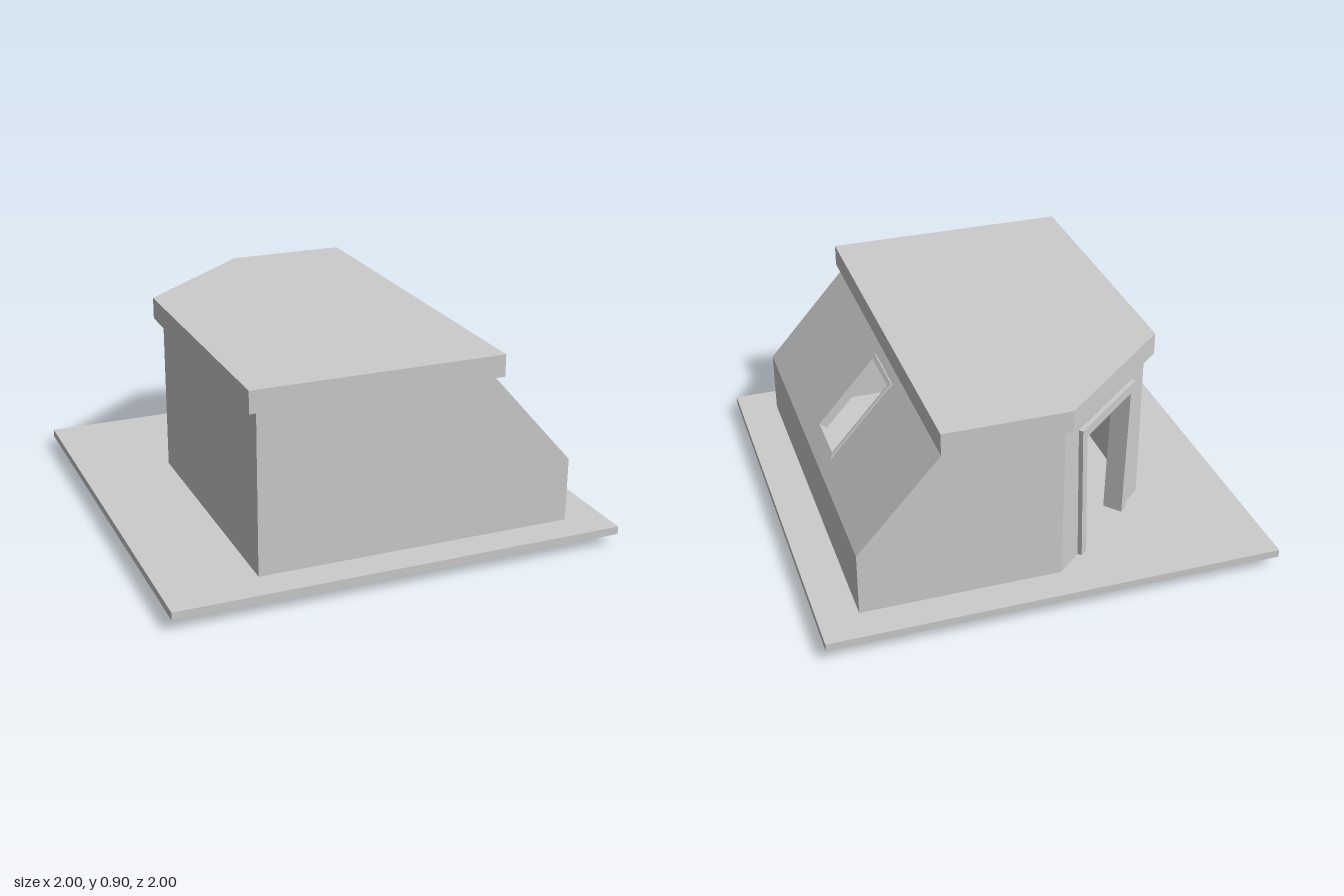
import * as THREE from 'three';

const material = new THREE.MeshStandardMaterial({ color: 0xcccccc, flatShading: true, side: THREE.DoubleSide });
const WALL = 0.03, BASE = 0.04, EAVES = 0.81, SILL = 0.375;
const V = (x, y, z) => new THREE.Vector3(x, y, z);
const UP = V(0, 1, 0);

const rect = (u0, v0, u1, v1) => [[u0, v0], [u1, v0], [u1, v1], [u0, v1]];
const toPoints = (list) => list.map(([a, b]) => new THREE.Vector2(a, b));

// Flat panel drawn in its own plane, outer face pushed out by `proud`
function panel(name, { origin, normal, up = UP }, outline, { hole, depth = WALL, proud = 0 } = {}) {
  const shape = new THREE.Shape(toPoints(outline));
  if (hole) shape.holes.push(new THREE.Path(toPoints(hole)));
  const geometry = new THREE.ExtrudeGeometry(shape, { depth, bevelEnabled: false });
  geometry.translate(0, 0, proud - depth);
  const across = new THREE.Vector3().crossVectors(up, normal);
  geometry.applyMatrix4(new THREE.Matrix4().makeBasis(across, up, normal).setPosition(origin));
  const mesh = new THREE.Mesh(geometry, material);
  mesh.name = name;
  return mesh;
}

export function createModel() {
  const model = new THREE.Group();
  model.name = 'bunkerHouse';

  // Ground slab
  const slab = new THREE.Mesh(new THREE.BoxGeometry(2, 0.035, 2), material);
  slab.name = 'groundSlab';
  slab.position.y = 0.0725;
  model.add(slab);

  // Corner points of the plan and the side profile
  const L = -0.59, R = 0.825, F = 0.85, ridge = 0.44;
  const cutA = V(L, 0, -0.386), cutB = V(-0.053, 0, -F);

  // Straight walls
  const front = { origin: V(0, 0, F), normal: V(0, 0, 1) };
  const back = { origin: V(0, 0, -F), normal: V(0, 0, -1) };
  model.add(
    panel('frontWall', front, [[L, BASE], [R, BASE], [R, SILL], [ridge, EAVES], [L, EAVES]]),
    panel('backWall', back, [[-R, BASE], [-cutB.x, BASE], [-cutB.x, EAVES], [-ridge, EAVES], [-R, SILL]]),
    panel('rightWall', { origin: V(L, 0, 0), normal: V(-1, 0, 0) }, rect(cutA.z, BASE, F, EAVES)),
    panel('leftWall', { origin: V(R, 0, 0), normal: V(1, 0, 0) }, rect(-F, BASE, F, SILL)),
  );

  // Sloping wall with a window
  const rise = V(ridge - R, EAVES - SILL, 0);
  const slopeLength = rise.length();
  const slopeUp = rise.normalize();
  const slope = { origin: V(R, SILL, 0), normal: V(slopeUp.y, -slopeUp.x, 0), up: slopeUp };
  model.add(panel('slopingWall', slope, rect(-F, 0, F, slopeLength), { hole: rect(-0.05, 0.09, 0.205, 0.49) }));

  // Window frame: slim sides between longer head and sill bars
  const windowFrame = new THREE.Group();
  windowFrame.name = 'windowFrame';
  const bar = { depth: 0.042, proud: 0.01 };
  for (const u of [-0.057, 0.2]) windowFrame.add(panel('windowSide', slope, rect(u, 0.09, u + 0.012, 0.49), bar));
  for (const v of [0.078, 0.483]) windowFrame.add(panel('windowBar', slope, rect(-0.063, v, 0.218, v + 0.02), bar));
  model.add(windowFrame);

  // Angled corner wall with a doorway that widens upwards
  const edge = new THREE.Vector3().subVectors(cutB, cutA);
  const half = edge.length() / 2;
  edge.normalize();
  const corner = {
    origin: cutA.clone().add(cutB).multiplyScalar(0.5),
    normal: V(edge.z, 0, -edge.x),
  };
  const trapezoid = (bottom, y0, top, y1) => [[-bottom, y0], [bottom, y0], [top, y1], [-top, y1]];
  model.add(
    panel('doorWall', corner, rect(-half, BASE, half, EAVES), { hole: trapezoid(0.185, 0.05, 0.218, 0.71) }),
    panel('doorFrame', corner, trapezoid(0.205, 0.005, 0.24, 0.735),
      { hole: trapezoid(0.165, BASE, 0.2, 0.69), depth: 0.09, proud: 0.02 }),
  );

  // Overhanging flat roof, its plan drawn as (x, -z)
  const roofPlan = [[-0.63, -0.882], [0.477, -0.882], [0.477, 0.887], [-0.072, 0.887], [-0.63, 0.4]];
  model.add(panel('roof', { origin: V(0, 0.905, 0), normal: UP, up: V(0, 0, -1) }, roofPlan, { depth: 0.097 }));

  return model;
}
